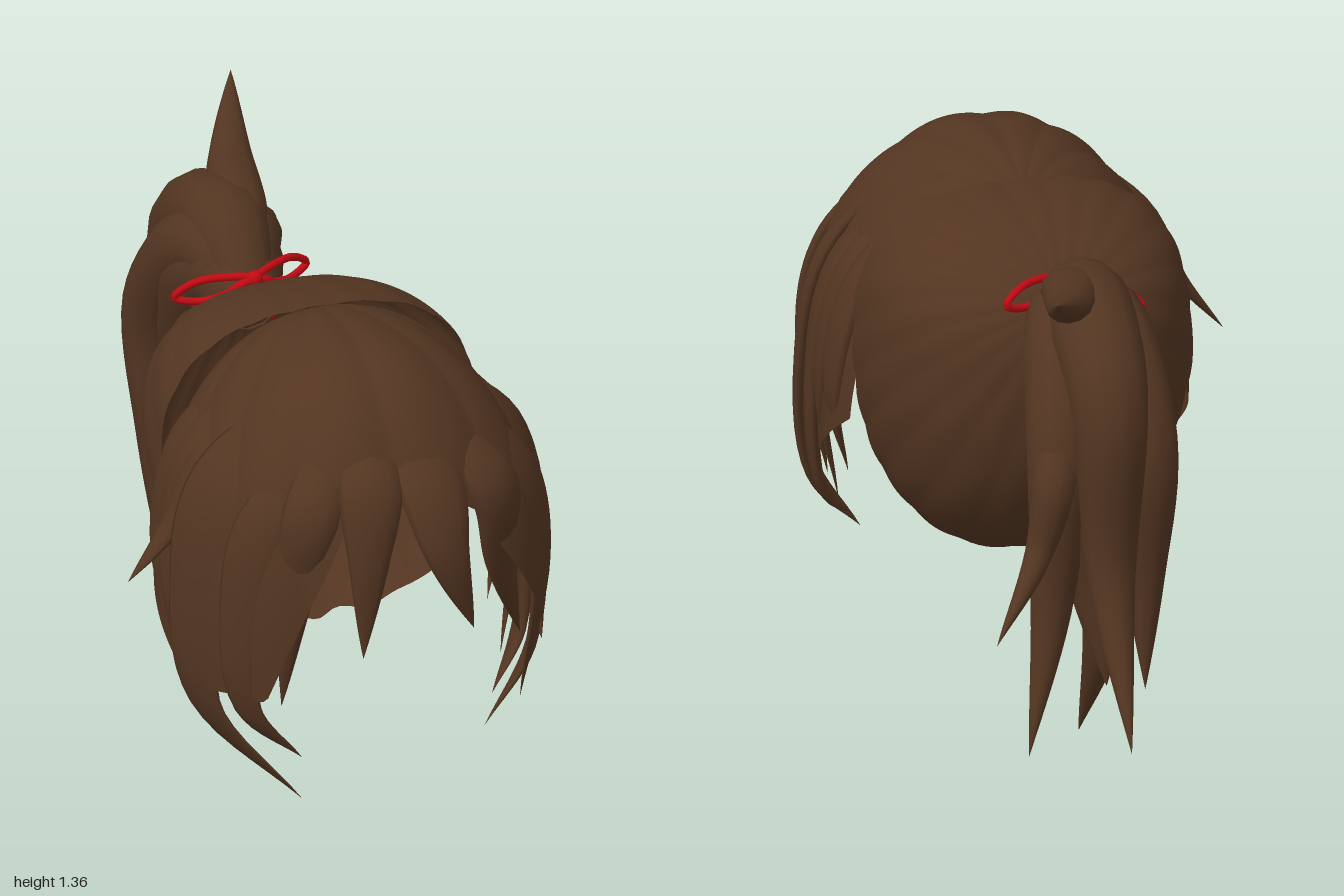
import * as THREE from 'three';

const V = (x, y, z) => new THREE.Vector3(x, y, z);
const hairMat = new THREE.MeshStandardMaterial({ color: 0x533521, side: THREE.DoubleSide });
hairMat.name = 'brown hair';
const ribbonMat = new THREE.MeshStandardMaterial({ color: 0xc00a12 });
ribbonMat.name = 'red ribbon';

// Rounded head volume with an exponent for each axis: value below 1 is inside
const volume = (c, r, down, ex, up, low, ez) => (p) => {
  const dy = p.y - c.y;
  return Math.abs((p.x - c.x) / r.x) ** ex + (dy > 0 ? (dy / r.y) ** up : (-dy / down) ** low)
    + Math.abs((p.z - c.z) / r.z) ** ez;
};
const frontVolume = volume(V(0.055, 0.62, 0.46), V(0.465, 0.66, 0.47), 0.82, 2.1, 2.1, 2.1, 2.6);
const backVolume = volume(V(0.06, 0.85, 0.22), V(0.42, 0.385, 0.45), 0.56, 2.5, 2.8, 2, 2);

// Distance from origin to the volume's surface
function cast(vol, origin, dir) {
  let lo = 0, hi = 1.5;
  for (let i = 0; i < 22; i++) {
    const m = (lo + hi) / 2;
    if (vol(origin.clone().addScaledVector(dir, m)) < 1) lo = m; else hi = m;
  }
  return lo;
}

// Grid surface from a point rule, optionally closed around
function grid(nu, nv, closed, rule) {
  const pos = [], idx = [], w = closed ? nv : nv + 1;
  for (let i = 0; i <= nu; i++) for (let j = 0; j < w; j++) pos.push(...rule(i / nu, j / nv).toArray());
  for (let i = 0; i < nu; i++) for (let j = 0; j < nv; j++) {
    const a = i * w + j, b = i * w + (j + 1) % w;
    idx.push(a, b, a + w, b, b + w, a + w);
  }
  const g = new THREE.BufferGeometry();
  g.setAttribute('position', new THREE.Float32BufferAttribute(pos, 3));
  g.setIndex(idx);
  g.computeVertexNormals();
  return g;
}

// Combed shell spreading from a pole until the keep rule fails
function shell(vol, origin, axis, range, closed, ridges, depth, keep) {
  const side = V(1, 0, 0), fwd = side.clone().cross(axis);
  const at = (a, p) => {
    const d = axis.clone().multiplyScalar(Math.cos(p))
      .addScaledVector(side, Math.sin(p) * Math.cos(a)).addScaledVector(fwd, Math.sin(p) * Math.sin(a));
    const bump = 1 + depth * Math.abs(Math.sin(ridges * a + 0.4 * Math.sin(3 * a))) * Math.sin(Math.min(p, 1.57));
    return origin.clone().addScaledVector(d, cast(vol, origin, d) * bump);
  };
  const n = 144, ends = [];
  for (let j = 0; j <= n; j++) {
    const a = range * j / n;
    let hi = 0.05;
    while (hi < 2.9 && keep(at(a, hi), a)) hi += 0.02;
    let lo = hi - 0.02;
    for (let k = 0; k < 8; k++) {
      const m = (lo + hi) / 2;
      if (keep(at(a, m), a)) lo = m; else hi = m;
    }
    ends.push(lo);
  }
  return grid(36, n, closed, (u, v) => at(range * v, 0.002 + u * ends[Math.round(v * n)]));
}

// Tapered lock of hair with a lens section
function lock(points, width, thick, sideAt) {
  const curve = new THREE.CatmullRomCurve3(points);
  return grid(28, 12, true, (s, v) => {
    const c = curve.getPoint(s), t = curve.getTangent(s);
    const side = sideAt(c, t);
    side.addScaledVector(t, -side.dot(t)).normalize();
    const nrm = t.clone().cross(side);
    const k = (0.45 + 0.55 * Math.sin(Math.min(1, s / 0.4) * Math.PI / 2)) * (1 - s ** 2.4);
    const a = v * Math.PI * 2;
    return c.addScaledVector(side, Math.cos(a) * k * width / 2).addScaledVector(nrm, Math.sin(a) * k * thick);
  });
}

export function createModel() {
  const model = new THREE.Group();
  const add = (name, geo, mat = hairMat) => {
    const m = new THREE.Mesh(geo, mat);
    m.name = name;
    model.add(m);
  };

  // Back cap combed towards the tie, with a rounded hem
  add('backCap', shell(backVolume, V(0.06, 0.78, 0.2), V(0, 0.6, -0.8), Math.PI * 2, true, 11, 0.011, (p) => p.z < 0.24
    && p.y > 0.31 + 1.1 * (p.x - 0.1) ** 2 + 4 * Math.max(0, p.z - 0.1) ** 2 + 0.004 * Math.sin(p.x * 45)));

  // Front shell with an arched face opening: degrees from the left side, hem height
  const hem = [[0, 0.64], [30, 0.42], [48, 0.46], [75, 0.93], [88, 1.03], [105, 0.92], [123, 0.46], [155, 0.42], [181, 0.64]];
  const hemAt = (a) => {
    const d = a * 180 / Math.PI, i = hem.findIndex((h) => h[0] > d);
    const [d0, y0] = hem[i - 1], [d1, y1] = hem[i];
    return y0 + (y1 - y0) * (d - d0) / (d1 - d0);
  };
  add('frontShell', shell(frontVolume, V(0.055, 0.72, 0.235), V(0, 1, -0.09).normalize(), Math.PI, false, 8, 0.022,
    (p, a) => p.y > hemAt(a)));

  const centre = V(0.055, 0.68, 0.35);
  const aroundHead = (c, t) => c.clone().sub(centre).cross(t);

  // Side locks follow the head's cross-section at one depth: direction, depth, width, tip
  const sideLocks = {
    rightLongLock: [-1, 0.6, 0.24, -0.17, 0.13, 0.72],
    rightFrontLock: [-1, 0.75, 0.16, -0.19, 0.27, 0.77],
    rightSideLock: [-1, 0.46, 0.22, -0.39, 0.36, 0.54],
    rightRearLock: [-1, 0.33, 0.16, -0.37, 0.43, 0.42],
    leftLongLock: [1, 0.58, 0.24, 0.36, 0.19, 0.61],
    leftFrontLock: [1, 0.72, 0.18, 0.42, 0.3, 0.7],
    leftMiddleLock: [1, 0.48, 0.2, 0.4, 0.25, 0.56],
    leftSideLock: [1, 0.42, 0.18, 0.45, 0.32, 0.49],
    leftRearLock: [1, 0.33, 0.16, 0.45, 0.43, 0.4],
  };
  for (const [name, [dir, z, width, ...tip]] of Object.entries(sideLocks)) {
    const origin = V(0.055, 0.68, z);
    const degrees = tip[1] < 0.28 ? [68, 36, 0, -34] : [68, 36, 0];
    const path = degrees.map((e, i) => {
      const a = e * Math.PI / 180, d = V(dir * Math.cos(a), Math.sin(a), 0);
      return origin.clone().addScaledVector(d, cast(frontVolume, origin, d) * (i ? 1 : 0.93));
    });
    add(name, lock([...path, V(...tip)], width, 0.028, aroundHead));
  }
  add('flyawayLock', lock([V(-0.15, 1.12, 0.5), V(-0.34, 0.99, 0.49), V(-0.43, 0.82, 0.48), V(-0.54, 0.68, 0.47)],
    0.11, 0.026, aroundHead));

  // Bangs fall from the parting over the brow: width, bulge, tip
  const bangs = {
    rightBang: [0.18, -0.065, 0.87, 0.91, -0.085, 0.59, 0.92],
    leftBang: [0.2, 0.13, 0.86, 0.95, 0.2, 0.64, 0.95],
    leftCurtain: [0.18, 0.33, 0.75, 0.8, 0.42, 0.48, 0.7],
    rightCurtain: [0.16, -0.22, 0.75, 0.8, -0.23, 0.4, 0.73],
  };
  for (const [name, [width, x, y, z, ...tip]] of Object.entries(bangs)) {
    const root = V(0.055 + (x - 0.055) * 0.4, 1.13, 0.68), bulge = V(x, y, z);
    const d = root.clone().lerp(bulge, 0.55).sub(centre).normalize();
    const brow = centre.clone().addScaledVector(d, cast(frontVolume, centre, d) + 0.008);
    add(name, lock([root, brow, bulge, V(...tip)], width, 0.042, aroundHead));
  }

  // Ponytail strands arch from the tie and fall: width, crest height, belly, tip
  const across = () => V(1, 0, 0);
  const tie = V(0.05, 1.05, -0.2);
  const tail = {
    tailCore: [0.34, 1.07, 0.08, 0.82, -0.61, 0.08, 0.24, -0.68],
    tailTopStrand: [0.25, 1.17, 0.08, 1.03, -0.7, 0.1, 0.18, -0.99],
    tailLeftStrand: [0.21, 1.13, 0.19, 0.87, -0.64, 0.3, 0.1, -0.75],
    tailRightStrand: [0.21, 1.13, -0.03, 0.87, -0.64, -0.02, 0.22, -0.68],
    tailLowerStrand: [0.2, 0.95, 0.04, 0.68, -0.54, 0.07, 0, -0.38],
    tailOuterStrand: [0.14, 1.04, 0.22, 0.82, -0.7, 0.43, 0.48, -0.92],
  };
  for (const [name, [width, crestY, x, y, z, ...end]] of Object.entries(tail)) {
    const belly = V(x, y, z), tip = V(...end);
    const crest = V((tie.x + x) / 2, crestY, -0.41);
    const fall = V(x * 0.75 + tip.x * 0.25, y * 0.45 + tip.y * 0.55, z * 0.85 + tip.z * 0.15);
    add(name, lock([tie, crest, belly, fall, tip], width, width * 0.5, across));
  }
  add('tailUpperSpike', lock([V(0.06, 1.08, -0.22), V(0.1, 1.21, -0.42), V(0.17, 1.255, -0.64), V(0.26, 1.36, -0.87)],
    0.17, 0.065, across));

  // Ribbon band round the root of the tail
  const band = new THREE.TorusGeometry(0.1, 0.012, 8, 32);
  band.scale(0.8, 1, 1);
  band.lookAt(V(0, 0.4, -0.9));
  band.translate(0.05, 1.04, -0.205);
  add('ribbonBand', band, ribbonMat);

  // Bow loops on both sides of the knot
  const knotAt = V(0.05, 1.135, -0.165);
  const bow = (name, end) => {
    const dir = end.clone().sub(knotAt);
    const spread = dir.clone().cross(V(0, 0, 1)).setLength(0.03);
    const middle = knotAt.clone().addScaledVector(dir, 0.65);
    const curve = new THREE.CatmullRomCurve3(
      [knotAt, middle.clone().add(spread), end, middle.clone().sub(spread)], true);
    add(name, new THREE.TubeGeometry(curve, 48, 0.01, 8, true), ribbonMat);
  };
  bow('leftBowLoop', V(0.22, 1.11, -0.25));
  bow('rightBowLoop', V(-0.13, 1.07, -0.26));
  const knot = new THREE.SphereGeometry(0.02, 16, 12);
  knot.translate(knotAt.x, knotAt.y, knotAt.z);
  add('ribbonKnot', knot, ribbonMat);

  return model;
}
